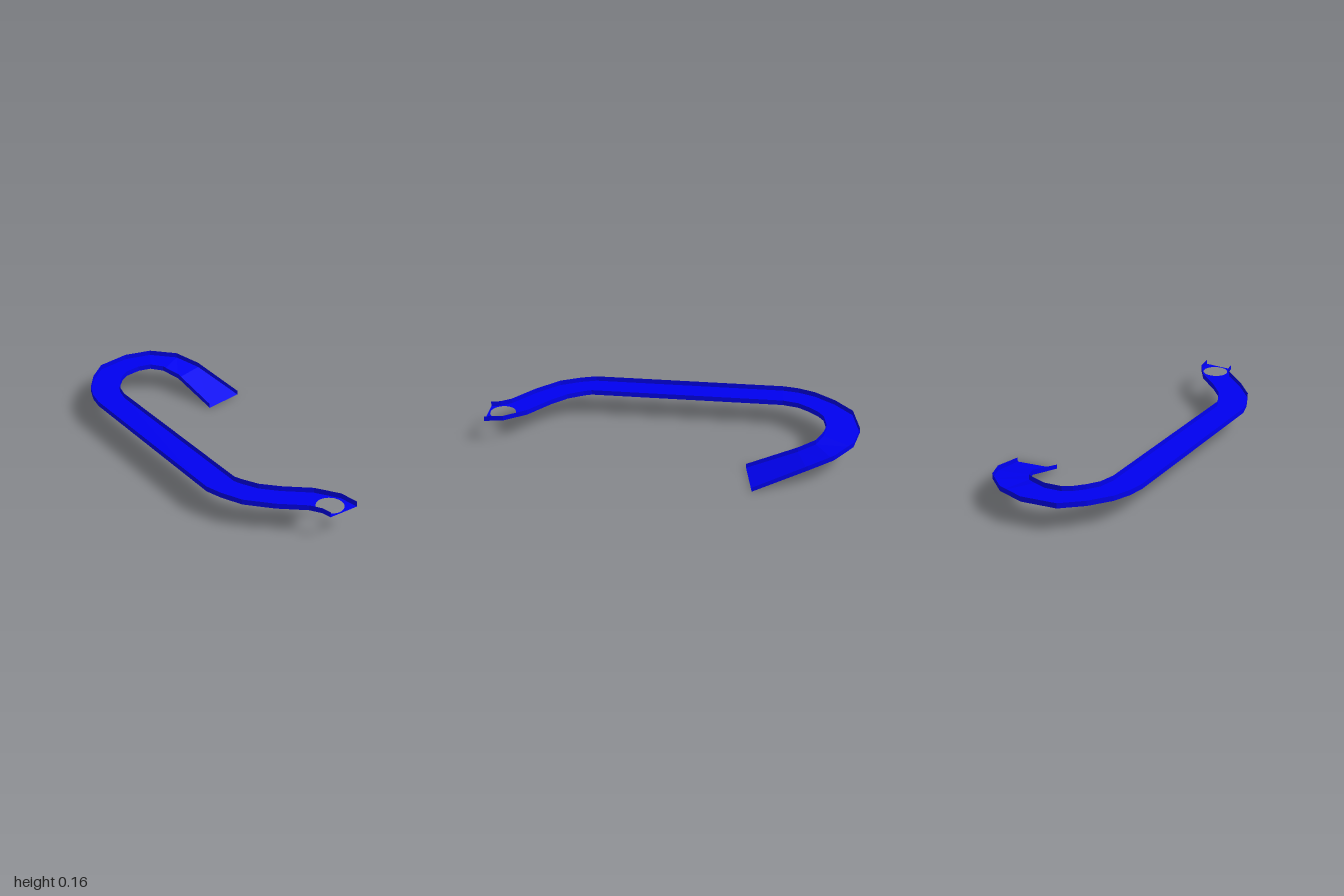
import * as THREE from 'three';

const WALL = 0.028;
const FLOOR = 0.13;

// Channel cross-sections: outer x, outer z, inner x, inner z, outer floor height, inner floor height
const EYELET = [
  [-0.07, 1, 0.093, 1, FLOOR, FLOOR],
  [-0.08, 0.95, 0.077, 0.9, FLOOR, FLOOR],
  [-0.115, 0.895, 0, 0.785, FLOOR, FLOOR],
];
const STRIP = [
  EYELET[2],
  [-0.24, 0.79, -0.125, 0.68, FLOOR, FLOOR],
  [-0.35, 0.67, -0.2, 0.6, FLOOR, FLOOR],
  [-0.4, 0.56, -0.245, 0.515, FLOOR, FLOOR],
  [-0.425, 0.475, -0.26, 0.475, FLOOR, FLOOR],
  [-0.425, -0.585, -0.26, -0.585, FLOOR, FLOOR],
  [-0.41, -0.67, -0.24, -0.67, FLOOR, FLOOR],
  [-0.375, -0.76, -0.2, -0.73, FLOOR, FLOOR],
  [-0.295, -0.87, -0.155, -0.78, FLOOR, FLOOR],
  [-0.19, -0.965, -0.11, -0.81, FLOOR, FLOOR],
  [-0.005, -1, -0.02, -0.825, FLOOR, FLOOR],
  [0.145, -0.965, 0.05, -0.81, FLOOR, FLOOR],
  [0.268, -0.865, 0.113, -0.772, 0.119, 0.115],
  [0.335, -0.735, 0.158, -0.68, 0.09, 0.09],
  [0.424, -0.458, 0.2, -0.416, 0, 0],
];

const outerFoot = ([x, z, , , y]) => [x, y, z];
const innerFoot = ([, , x, z, , y]) => [x, y, z];
const raise = ([x, y, z]) => [x, y + (y > 0 ? WALL : 0.024), z];

// Ribbon of quads between two matching rows of points
function ribbon(rowA, rowB) {
  const positions = [];
  for (let i = 0; i < rowA.length - 1; i++) {
    positions.push(...rowA[i], ...rowB[i], ...rowB[i + 1]);
    positions.push(...rowA[i], ...rowB[i + 1], ...rowA[i + 1]);
  }
  const geometry = new THREE.BufferGeometry();
  geometry.setAttribute('position', new THREE.Float32BufferAttribute(positions, 3));
  geometry.computeVertexNormals();
  return geometry;
}

// Floor of the end plate, with a round hole
function eyeletFloor() {
  const outline = [...EYELET.map(innerFoot), ...EYELET.map(outerFoot).reverse()];
  const shape = new THREE.Shape(outline.map(([x, , z]) => new THREE.Vector2(x, -z)));
  shape.holes.push(new THREE.Path().absarc(-0.008, -0.92, 0.07, 0, Math.PI * 2, true));
  return new THREE.ShapeGeometry(shape, 16).rotateX(-Math.PI / 2).translate(0, FLOOR, 0);
}

export function createModel() {
  const group = new THREE.Group();
  group.name = 'hookedChannel';
  const material = new THREE.MeshStandardMaterial({
    color: 0x0000f0, flatShading: true, side: THREE.DoubleSide,
  });

  const add = (name, geometry) => {
    const mesh = new THREE.Mesh(geometry, material);
    mesh.name = name;
    group.add(mesh);
  };

  // Open-topped channel: floor, then a low wall along each edge
  add('channelFloor', ribbon(STRIP.map(outerFoot), STRIP.map(innerFoot)));
  add('eyeletFloor', eyeletFloor());
  const sections = [...EYELET, ...STRIP.slice(1)];
  const outer = sections.map(outerFoot);
  const inner = sections.map(innerFoot);
  add('outerWall', ribbon(outer.map(raise), outer));
  add('innerWall', ribbon(inner, inner.map(raise)));
  return group;
}
